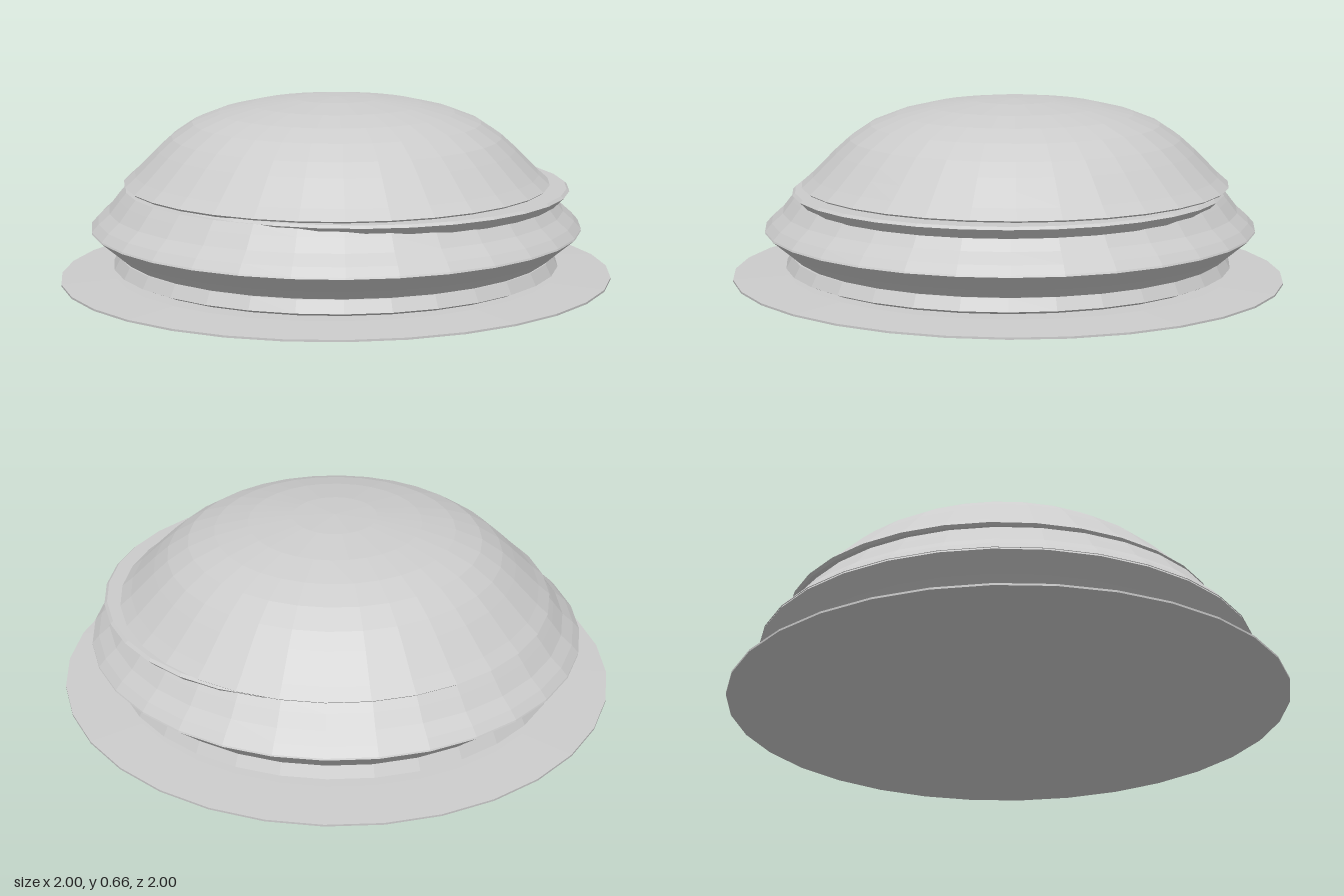
import * as THREE from 'three';

const material = new THREE.MeshStandardMaterial({ color: 0xcccccc, flatShading: true, side: THREE.DoubleSide });

// Turned layer from [radius, height] pairs, set at x, z
function layer(name, profile, x = 0, z = 0) {
  const points = profile.map(([r, y]) => new THREE.Vector2(r, y));
  const mesh = new THREE.Mesh(new THREE.LatheGeometry(points, 32), material);
  mesh.name = name;
  mesh.position.set(x, 0, z);
  return mesh;
}

export function createModel() {
  const model = new THREE.Group();
  model.name = 'layeredBun';

  // Thin plate, tipped slightly down to the right-hand side
  const plate = layer('plate', [[0, -0.009], [0.8, -0.009], [1, 0], [1, 0.007], [0.8, 0.016], [0, 0.02]]);
  plate.position.y = 0.021;
  plate.rotation.z = 0.009;
  model.add(plate);

  // Low bottom bun with a bevelled underside
  model.add(layer('bottomBun', [[0, 0.04], [0.7, 0.045], [0.78, 0.055], [0.81, 0.068], [0.788, 0.11], [0, 0.11]]));

  // Filling that flares outward
  model.add(layer('filling', [[0, 0.1], [0.785, 0.11], [0.825, 0.145], [0.89, 0.2], [0.885, 0.21], [0, 0.21]], -0.005, -0.005));

  // Sloping upper layer
  model.add(layer('upperLayer', [[0, 0.2], [0.89, 0.207], [0.865, 0.235], [0.825, 0.27], [0.79, 0.315], [0.765, 0.345], [0, 0.35]], -0.005, -0.005));

  // Slice that slips out on one side
  const slice = layer('slice', [[0, 0.31], [0.74, 0.31], [0.775, 0.345], [0.765, 0.354], [0, 0.354]], 0.05, -0.05);
  model.add(slice);

  // Domed top bun, set slightly off centre
  model.add(layer('topBun', [
    [0, 0.35], [0.765, 0.352], [0.775, 0.36], [0.735, 0.395], [0.69, 0.44], [0.65, 0.48],
    [0.6, 0.525], [0.525, 0.575], [0.43, 0.612], [0.31, 0.64], [0.15, 0.66], [0, 0.665],
  ], -0.018, -0.018));

  return model;
}
